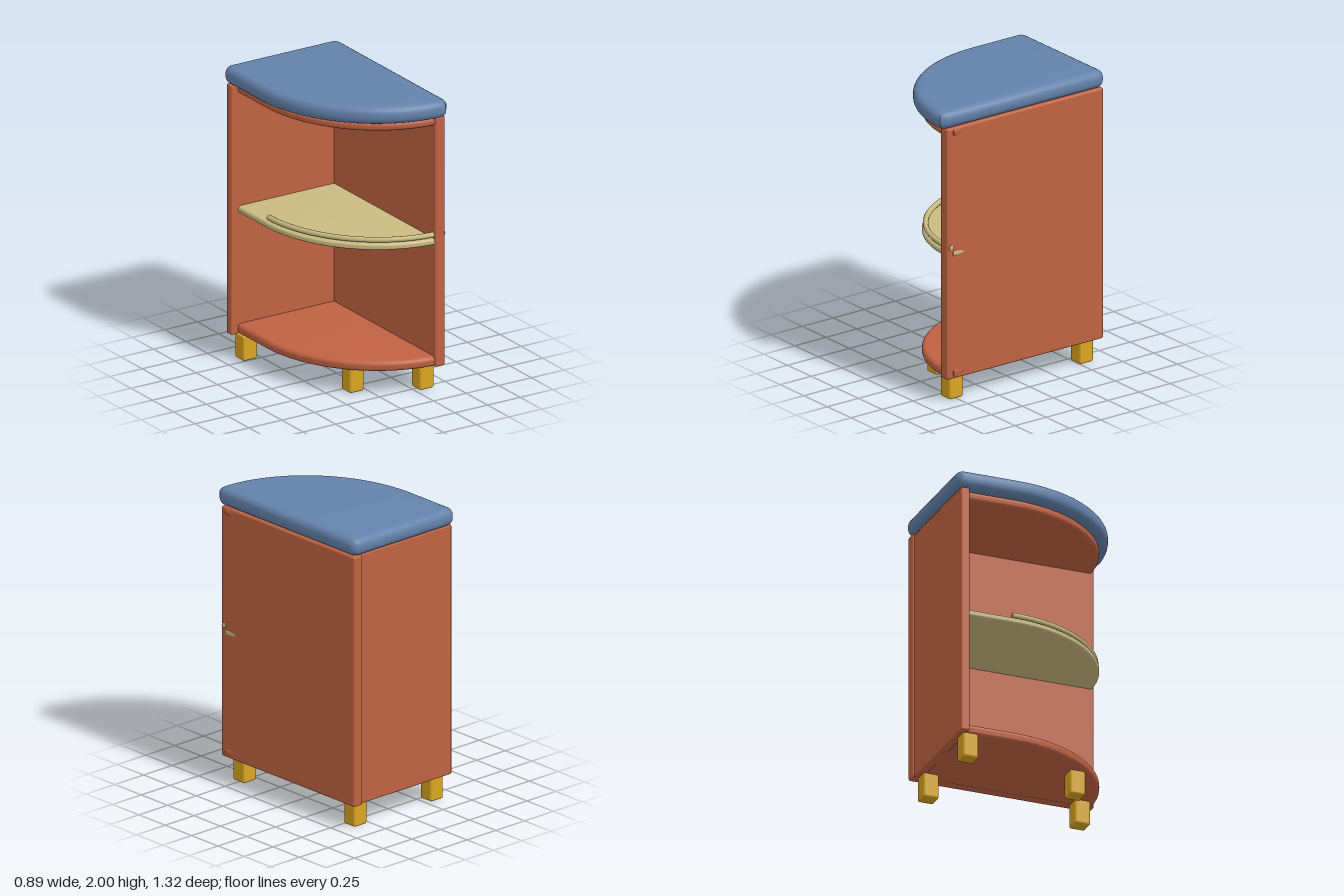
import * as THREE from 'three';
import { toCreasedNormals } from 'three/addons/utils/BufferGeometryUtils.js';
import { RoundedBoxGeometry } from 'three/addons/geometries/RoundedBoxGeometry.js';

const material = (name, color) => {
  const m = new THREE.MeshStandardMaterial({ color });
  m.name = name;
  return m;
};

// Centre of the quarter ellipse shared by the top, shelves and rail
const CX = 0.4, CZ = -0.25;

export function createModel() {
  const group = new THREE.Group();
  const blue = material('blue worktop', 0x6482ab);
  const red = material('terracotta body', 0xc06243);
  const cream = material('cream shelf', 0xcabb82);
  const gold = material('golden legs', 0xdaa520);

  const add = (name, geometry, mat, x = 0, y = 0, z = 0) => {
    const mesh = new THREE.Mesh(geometry, mat);
    mesh.name = name;
    mesh.position.set(x, y, z);
    group.add(mesh);
  };

  // Box given by its limits, with rounded edges
  const box = (name, mat, [x0, x1], [y0, y1], [z0, z1], r) =>
    add(name, new RoundedBoxGeometry(x1 - x0, y1 - y0, z1 - z0, 3, r), mat,
      (x0 + x1) / 2, (y0 + y1) / 2, (z0 + z1) / 2);

  // Board with a straight back, a curved front left and a rounded rim.
  // rx, rz are the outer ellipse radii; right lists [x, z] points, front to back.
  const board = (name, mat, rx, rz, right, back, y0, y1, rim) => {
    const a = rx - rim, b = rz - rim, c = 0.012;
    const left = CX - a;
    const shape = new THREE.Shape();
    shape.moveTo(left, -back - c);
    shape.lineTo(left, -CZ);
    shape.absellipse(CX, -CZ, a, b, Math.PI, Math.PI * 1.48, false);
    right.forEach(([x, z]) => shape.lineTo(x, -z));
    const endX = right[right.length - 1][0];
    shape.lineTo(endX, -back - c);
    shape.quadraticCurveTo(endX, -back, endX - c, -back);
    shape.lineTo(left + c, -back);
    shape.quadraticCurveTo(left, -back, left, -back - c);
    const geo = new THREE.ExtrudeGeometry(shape, {
      depth: y1 - y0 - 2 * rim, bevelThickness: rim, bevelSize: rim,
      bevelSegments: 5, curveSegments: 28,
    });
    geo.rotateX(-Math.PI / 2);
    add(name, toCreasedNormals(geo, 0.75), mat, 0, y0 + rim, 0);
  };

  // Worktop
  board('worktop', blue, 0.845, 0.91, [[0.382, 0.606], [0.39, 0.595]], -0.615, 1.88, 2, 0.05);

  // Side and back panels
  box('sidePanel', red, [0.355, 0.432], [0.162, 1.882], [-0.65, 0.612], 0.015);
  box('backPanel', red, [-0.432, 0.37], [0.165, 1.88], [-0.635, -0.575], 0.01);

  // Shelves, whose front ends come just through the side panel
  const shelf = (name, mat, y0, y1, rim) => {
    const edge = 0.438 - rim;
    board(name, mat, 0.785, 0.855, [[edge, 0.575 - rim], [edge - 0.02, 0.3], [edge - 0.04, 0]],
      -0.57, y0, y1, rim);
  };
  shelf('bottomShelf', red, 0.165, 0.235, 0.03);
  shelf('topShelf', red, 1.818, 1.882, 0.03);
  shelf('middleShelf', cream, 1.0, 1.045, 0.021);

  // Guard rail along the curved rim of the middle shelf
  const rail = [];
  for (let i = 0; i <= 16; i++) {
    const t = (i / 16) * Math.PI * 0.515;
    rail.push(new THREE.Vector3(CX - 0.757 * Math.cos(t), 1.067, CZ + 0.833 * Math.sin(t)));
  }
  rail.push(new THREE.Vector3(0.437, 1.067, 0.582));
  const railPath = new THREE.CatmullRomCurve3(rail);
  add('guardRail', new THREE.TubeGeometry(railPath, 48, 0.018, 10), cream);
  [rail[0], rail[rail.length - 1]].forEach((p, i) =>
    add('railEnd' + (i + 1), new THREE.SphereGeometry(0.018, 10, 8).scale(i ? 0.3 : 1, 1, i ? 1 : 0.3),
      cream, p.x, p.y, p.z));

  // Legs
  [[0.33, 0.5], [-0.075, 0.3], [0.33, -0.55], [-0.335, -0.55]].forEach(([x, z], i) =>
    box('leg' + (i + 1), gold, [x - 0.054, x + 0.054], [0, 0.172], [z - 0.054, z + 0.054], 0.015));

  return group;
}
